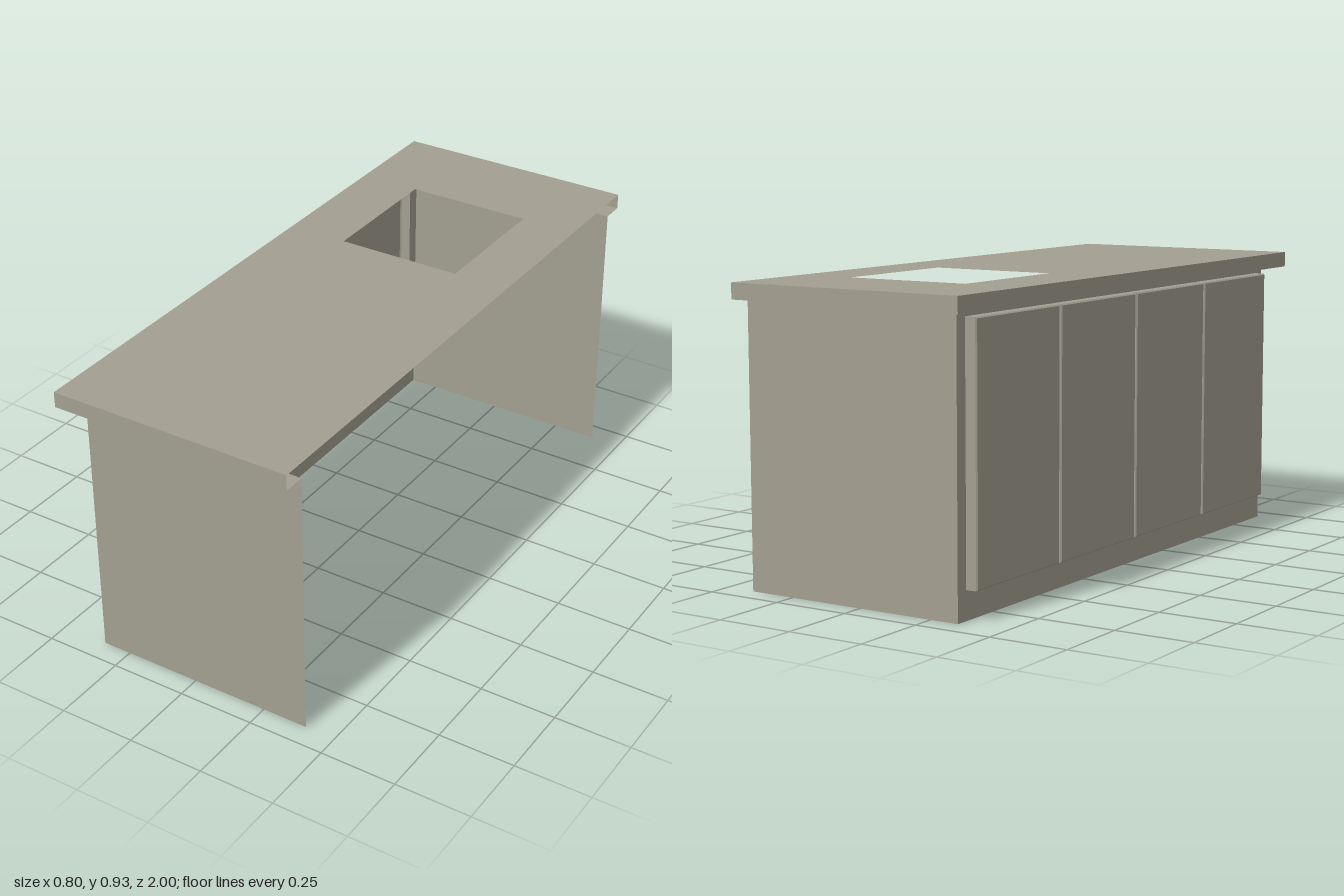
import * as THREE from 'three';

export function createModel() {
  const model = new THREE.Group();
  model.name = 'kitchenIsland';
  const stone = new THREE.MeshStandardMaterial({ color: 0xa39f91, side: THREE.DoubleSide });
  stone.name = 'warmGrey';

  // Main dimensions
  const H = 0.932, LIP = 0.882, X = 0.4, Z = 1;
  const WALL = -0.345, END = 0.928, FACE = -0.383, BEVEL = 0.004;
  const doorY = [0.09, 0.864];
  const doorWidth = 0.436, doorPitch = 0.4435, firstDoor = -0.886;
  const doors = [0, 1, 2, 3].map(i => {
    const z = firstDoor + i * doorPitch;
    return [z, z + doorWidth];
  });

  const add = (name, geometry, parent = model) => {
    const mesh = new THREE.Mesh(geometry, stone);
    mesh.name = name;
    parent.add(mesh);
    return mesh;
  };
  const polygon = pts => pts.map(p => new THREE.Vector2(...p));
  const rect = (a0, b0, a1, b1) => polygon([[a0, b0], [a1, b0], [a1, b1], [a0, b1]]);
  const sheet = (outline, holes = []) => {
    const shape = new THREE.Shape(outline);
    holes.forEach(h => shape.holes.push(new THREE.Path(h)));
    return new THREE.ShapeGeometry(shape);
  };

  // Worktop sheet with the sink cut-out
  const worktop = new THREE.Group();
  worktop.name = 'worktop';
  model.add(worktop);
  add('worktopSurface',
    sheet(rect(-X, -Z, X, Z), [rect(-0.2, 0.225, 0.215, 0.673)])
      .rotateX(-Math.PI / 2).translate(0, H, 0), worktop);

  // Edge skirt on three sides; the +x side stays open
  const midY = (H + LIP) / 2, skirtH = H - LIP;
  for (const s of [1, -1]) {
    add(s > 0 ? 'frontEdge' : 'backEdge',
      new THREE.PlaneGeometry(2 * X, skirtH)
        .rotateY(s > 0 ? 0 : Math.PI).translate(0, midY, s * Z), worktop);
  }
  add('sideEdge', new THREE.PlaneGeometry(2 * Z, skirtH)
    .rotateY(-Math.PI / 2).translate(-X, midY, 0), worktop);

  // U-shaped underside of the overhang
  add('overhangUnderside', sheet(polygon([
    [X, -Z], [X, -END], [WALL, -END], [WALL, END], [X, END], [X, Z], [-X, Z], [-X, -Z],
  ])).rotateX(Math.PI / 2).translate(0, LIP, 0), worktop);

  // End panels
  for (const s of [1, -1]) {
    add(s > 0 ? 'frontPanel' : 'backPanel',
      new THREE.PlaneGeometry(X - WALL, LIP)
        .rotateY(s > 0 ? 0 : Math.PI).translate((X + WALL) / 2, LIP / 2, s * END));
  }

  // Long wall with an opening behind each door
  add('doorFrame', sheet(rect(-END, 0, END, LIP),
    doors.map(([z0, z1]) => rect(z0, doorY[0], z1, doorY[1])))
    .rotateY(-Math.PI / 2).translate(WALL, 0, 0));

  // Hollow doors: sides, a small bevel and the face
  const ring = (x, [z0, z1], inset) => {
    const [y0, y1] = doorY;
    return [
      [x, y0 + inset, z0 + inset], [x, y0 + inset, z1 - inset],
      [x, y1 - inset, z1 - inset], [x, y1 - inset, z0 + inset],
    ];
  };
  doors.forEach((span, n) => {
    const rings = [ring(WALL, span, 0), ring(FACE + BEVEL, span, 0), ring(FACE, span, BEVEL)];
    const pos = [];
    const quad = (a, b, c, d) => pos.push(...a, ...b, ...c, ...a, ...c, ...d);
    for (let r = 0; r < 2; r++) {
      for (let i = 0; i < 4; i++) {
        const j = (i + 1) % 4;
        quad(rings[r][i], rings[r][j], rings[r + 1][j], rings[r + 1][i]);
      }
    }
    quad(...rings[2]);
    const geometry = new THREE.BufferGeometry();
    geometry.setAttribute('position', new THREE.Float32BufferAttribute(pos, 3));
    geometry.computeVertexNormals();
    add('door' + (n + 1), geometry);
  });

  return model;
}
